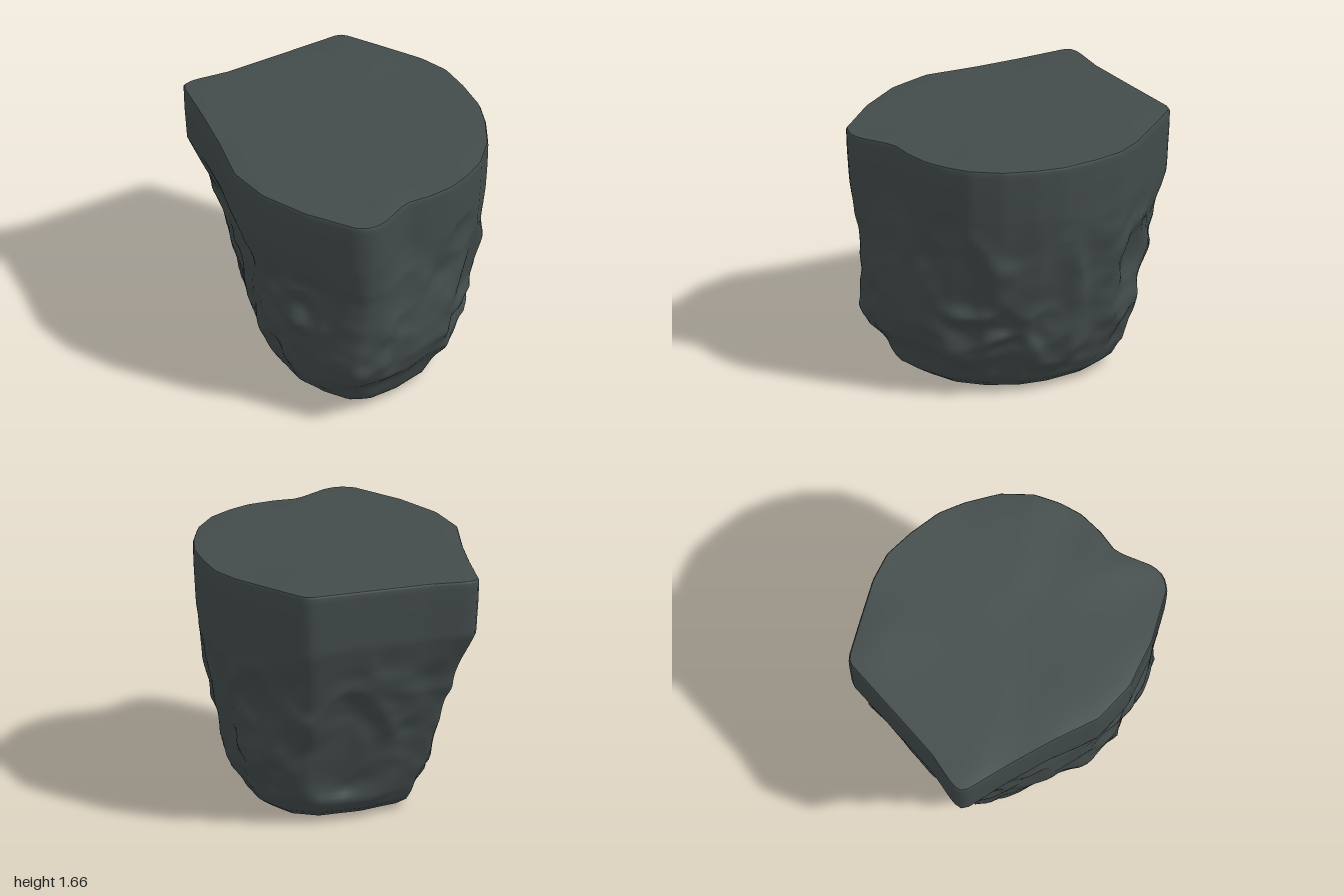
import * as THREE from 'three';

const SIDES = 160;

// Plan outlines (x, z pairs, running round from the back right corner)
const TOP = [-.82, -.83, -.8, -.87, -.74, -.89, -.5, -.89, -.2, -.93, .3, -1, .34, -.98, .5, -.8, .7, -.57, .8, -.4,
  .84, -.2, .86, .02, .83, .2, .76, .42, .64, .6, .5, .71, .37, .78, .2, .82, .06, .83, 0, .86, -.17, .98, -.26, 1,
  -.35, .97, -.6, .7, -.78, .42, -.86, .14, -.83, -.2, -.82, -.5];
const MIDDLE = [-.66, -.72, -.3, -.82, .28, -.9, .45, -.78, .7, -.47, .79, -.1, .78, .15, .69, .45, .48, .67,
  .15, .81, -.1, .9, -.27, .93, -.42, .82, -.62, .55, -.71, .2, -.69, -.3];
const LOW = [-.55, -.6, -.2, -.69, .27, -.75, .46, -.67, .62, -.42, .69, -.1, .68, .2, .58, .45, .38, .7,
  .1, .83, -.15, .9, -.32, .87, -.5, .68, -.64, .4, -.68, .1, -.63, -.3];
const FOOT = [-.45, -.52, -.15, -.64, .2, -.69, .4, -.6, .54, -.35, .58, -.05, .55, .2, .45, .42, .28, .6,
  .05, .7, -.15, .74, -.3, .7, -.43, .55, -.53, .35, -.58, .05, -.53, -.25];

// Distance from the axis to an outline in the direction of an angle
function radiusAt(outline, angle) {
  const dx = Math.cos(angle), dz = Math.sin(angle), n = outline.length / 2;
  for (let i = 0; i < n; i++) {
    const ax = outline[2 * i], az = outline[2 * i + 1];
    const j = (i + 1) % n;
    const ex = outline[2 * j] - ax, ez = outline[2 * j + 1] - az;
    const det = ex * dz - ez * dx;
    if (Math.abs(det) < 1e-9) continue;
    const s = (az * dx - ax * dz) / det;
    const r = (ex * az - ez * ax) / det;
    if (s >= -1e-6 && s <= 1 + 1e-6 && r > 0) return r;
  }
  return 0.5;
}

// Smooth 3D value noise in the range -1 to 1
function hash(x, y, z) {
  const s = Math.sin(x * 127.1 + y * 311.7 + z * 74.7) * 43758.5453;
  return (s - Math.floor(s)) * 2 - 1;
}
function noise(x, y, z) {
  const X = Math.floor(x), Y = Math.floor(y), Z = Math.floor(z);
  const fade = t => t * t * (3 - 2 * t), mix = THREE.MathUtils.lerp;
  const u = fade(x - X), v = fade(y - Y), w = fade(z - Z);
  const row = (j, k) => mix(hash(X, Y + j, Z + k), hash(X + 1, Y + j, Z + k), u);
  return mix(mix(row(0, 0), row(1, 0), v), mix(row(0, 1), row(1, 1), v), w);
}

// Large chips knocked out of the sides: x, y, z, radius, depth
const CHIPS = [
  [-.55, .9, .68, .22, .04], [.5, 1.2, .7, .14, .03], [.55, .85, -.62, .22, .04], [.5, .4, .62, .18, .03],
  [.72, .48, .1, .14, .03],
];

// Chipped stone relief: sharp ridges and fine grain
function relief(x, y, z) {
  const wx = x + 0.12 * noise(x * 3, y * 3, z * 3 + 7);
  const wy = y + 0.12 * noise(x * 3 + 5, y * 3, z * 3);
  const ridge = 0.33 - Math.abs(noise(wx * 3.6 + 9, wy * 4, z * 3.6));
  return 0.045 * ridge + 0.018 * noise(wx * 8, wy * 8, z * 8);
}

// Key levels from foot to rim: height, outline, scale
const LEVELS = [
  [0.02, FOOT, 0.8], [0.07, FOOT, 0.92], [0.16, FOOT, 1], [0.3, LOW, 0.94], [0.45, LOW, 1], [0.95, MIDDLE, 1],
  [1.28, TOP, 0.98], [1.5, TOP, 0.995], [1.635, TOP, 1], [1.65, TOP, 0.992],
];

function sidePoint(y, angle) {
  const cx = Math.cos(angle), cz = Math.sin(angle);
  // The levels wander up and down so that no crease runs straight round the stone
  const wander = THREE.MathUtils.smoothstep(y, 0.08, 0.25) * (1 - THREE.MathUtils.smoothstep(y, 1.2, 1.45));
  const h = y + 0.06 * wander * noise(cx * 3, y * 2, cz * 3);
  let k = 0;
  while (k < LEVELS.length - 2 && h > LEVELS[k + 1][0]) k++;
  const [y0, o0, s0] = LEVELS[k], [y1, o1, s1] = LEVELS[k + 1];
  const r = THREE.MathUtils.lerp(radiusAt(o0, angle) * s0, radiusAt(o1, angle) * s1, (h - y0) / (y1 - y0));
  const x = r * cx, z = r * cz;
  const rough = 1 - THREE.MathUtils.smoothstep(y, 0.85, 1.35);
  const quiet = THREE.MathUtils.smoothstep(y, -0.05, 0.25);
  let push = relief(x, y, z) * rough * quiet;
  for (const [px, py, pz, size, depth] of CHIPS) {
    const d = Math.hypot(x - px, y - py, z - pz) / size;
    push -= depth * Math.max(0, 1 - d * d);
  }
  return [x + push * cx, y, z + push * cz];
}

// Joins rings of points into a smooth surface
function skin(rings) {
  const index = [];
  for (let i = 0; i < rings.length - 1; i++) {
    for (let j = 0; j < SIDES; j++) {
      const a = i * SIDES + j, b = i * SIDES + (j + 1) % SIDES;
      index.push(a, a + SIDES, b, b, a + SIDES, b + SIDES);
    }
  }
  const geometry = new THREE.BufferGeometry();
  geometry.setAttribute('position', new THREE.Float32BufferAttribute(rings.flat(2), 3));
  geometry.setIndex(index);
  geometry.computeVertexNormals();
  return geometry;
}

const ringOf = fn => Array.from({ length: SIDES }, (_, j) => fn((j / SIDES) * Math.PI * 2));

export function createModel() {
  const group = new THREE.Group();
  group.name = 'rock';
  const stone = new THREE.MeshStandardMaterial({ color: 0x434b4b });
  stone.name = 'dark grey stone';
  const add = (name, rings) => {
    const mesh = new THREE.Mesh(skin(rings), stone);
    mesh.name = name;
    group.add(mesh);
  };

  // Rough sides, tapering to the foot
  const heights = [0.02, 0.04, 0.07];
  for (let y = 0.1; y < 1.6; y += 0.025) heights.push(y);
  heights.push(1.635, 1.65);
  const sides = heights.map(y => ringOf(a => sidePoint(y, a)));
  add('sides', sides);

  // Flat top and underside with a slight unevenness
  const cap = (rim, bump) => [1, 0.9, 0.75, 0.55, 0.35, 0.15, 0].map(s =>
    rim.map(([x, y, z]) => [x * s, y + (s < 1 ? bump(x * s, z * s) : 0), z * s]));
  add('flatTop', cap(sides[sides.length - 1], (x, z) => 0.006 + 0.008 * noise(x * 3, 4, z * 3)));
  add('underside', cap(sides[0], (x, z) => -0.01 + 0.01 * noise(x * 3, 8, z * 3)).reverse());
  return group;
}
